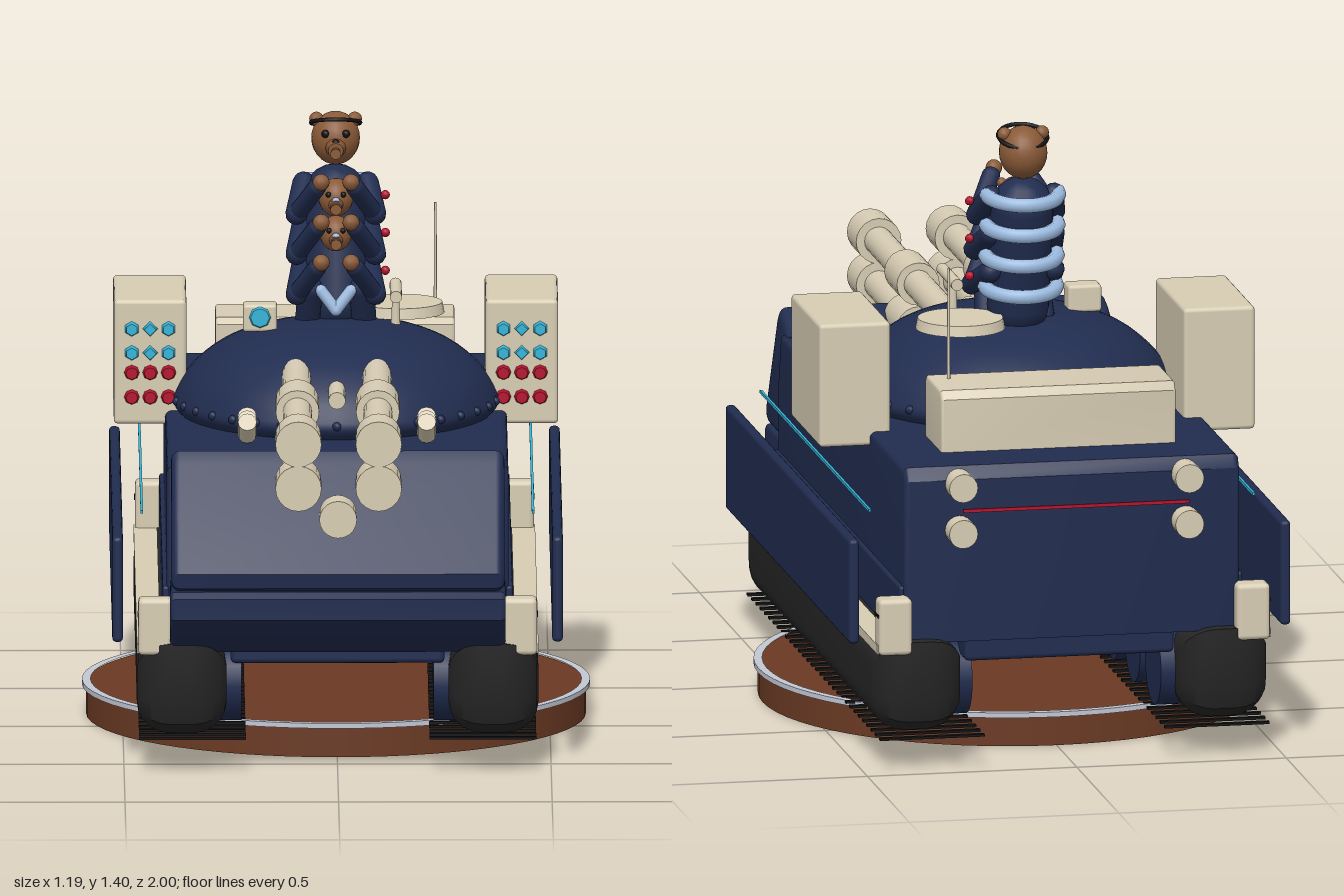
import * as THREE from 'three';
import { toCreasedNormals } from 'three/addons/utils/BufferGeometryUtils.js';
import { RoundedBoxGeometry } from 'three/addons/geometries/RoundedBoxGeometry.js';

const colours = {
  navy: 0x212d50, cream: 0xd8cdb4, rubber: 0x262626, wood: 0x6b3a24, fur: 0x8a5a38,
  paleBlue: 0x9cbbe0, cyan: 0x35b5d8, red: 0xb5122e, silver: 0xc4c8d4, black: 0x121214,
};

export function createModel() {
  const root = new THREE.Group();
  const M = {};
  for (const [name, color] of Object.entries(colours)) {
    M[name] = new THREE.MeshStandardMaterial({ color });
    M[name].name = name;
  }

  const add = (name, geo, mat, x = 0, y = 0, z = 0, parent = root) => {
    const mesh = new THREE.Mesh(geo, mat);
    mesh.name = name;
    mesh.position.set(x, y, z);
    parent.add(mesh);
    return mesh;
  };
  const group = (name) => {
    const g = new THREE.Group();
    g.name = name;
    root.add(g);
    return g;
  };
  const box = (w, h, d, r = 0.012) => new RoundedBoxGeometry(w, h, d, 2, r);
  const rod = (r, len, r2 = r, seg = 20) => new THREE.CylinderGeometry(r2, r, len, seg).rotateX(Math.PI / 2);
  // Side outline given as [z, y], extruded across x and centred on x = 0
  const sideExtrude = (pts, width, bevel, size = bevel) => {
    const shape = new THREE.Shape(pts.map(([z, y]) => new THREE.Vector2(z, y)));
    const geo = new THREE.ExtrudeGeometry(shape, {
      depth: width - 2 * bevel, bevelEnabled: true, bevelThickness: bevel, bevelSize: size,
      bevelOffset: -size, bevelSegments: 5,
    });
    geo.translate(0, 0, bevel - width / 2).rotateY(-Math.PI / 2);
    return toCreasedNormals(geo, 0.6);
  };
  // Rounded limb between two points
  const limb = (name, a, b, r, mat, parent) => {
    const p = new THREE.Vector3(...a), q = new THREE.Vector3(...b);
    const dir = q.clone().sub(p);
    const m = add(name, new THREE.CapsuleGeometry(r, dir.length(), 5, 12), mat, 0, 0, 0, parent);
    m.position.copy(p).add(q).multiplyScalar(0.5);
    m.quaternion.setFromUnitVectors(new THREE.Vector3(0, 1, 0), dir.normalize());
    return m;
  };

  // Display base
  add('displayBase', new THREE.CylinderGeometry(0.585, 0.585, 0.07, 64), M.wood, 0, 0.035, -0.175);
  add('baseRim', new THREE.CylinderGeometry(0.595, 0.595, 0.012, 64, 1, true), M.silver, 0, 0.076, -0.175);
  add('baseRimTop', new THREE.RingGeometry(0.575, 0.595, 64).rotateX(-Math.PI / 2), M.silver, 0, 0.082, -0.175);
  add('baseTop', new THREE.CylinderGeometry(0.58, 0.58, 0.008, 64), M.wood, 0, 0.074, -0.175);

  // Hull with overhanging nose
  add('hull', sideExtrude([[-0.94, 0.3], [-0.95, 0.69], [-0.93, 0.72], [0.54, 0.715], [0.57, 0.6], [0.57, 0.29]], 0.8, 0.015), M.navy);
  add('upperNose', sideExtrude([[0.5, 0.72], [0.57, 0.755], [0.61, 0.765], [0.635, 0.74], [0.77, 0.5], [0.765, 0.465], [0.74, 0.455], [0.5, 0.455]], 0.78, 0.02), M.navy);
  add('lowerNose', sideExtrude([[0.5, 0.455], [0.755, 0.455], [0.77, 0.44], [0.77, 0.39], [0.6, 0.285], [0.5, 0.28]], 0.785, 0.012), M.navy);
  add('belly', box(0.5, 0.07, 1.45), M.navy, 0, 0.28, -0.19);

  const trackOutline = [[0.635, 0.31], [0.635, 0.17], [0.615, 0.115], [0.56, 0.085],
    [-0.9, 0.085], [-0.955, 0.115], [-0.975, 0.17], [-0.975, 0.31]];
  for (const s of [-1, 1]) {
    // Running gear
    add('track', sideExtrude(trackOutline, 0.21, 0.08, 0.07), M.rubber, s * 0.365, 0, 0);
    for (let i = 0; i < 6; i++) {
      const z = 0.44 - i * 0.245;
      add('roadWheel', new THREE.CylinderGeometry(0.095, 0.095, 0.08, 24).rotateZ(Math.PI / 2), M.navy, s * 0.265, 0.19, z);
    }
    for (let i = 0; i < 32; i++) add('trackPad', new THREE.BoxGeometry(0.25, 0.006, 0.014), M.black, s * 0.34, 0.081, 0.605 - i * 0.0508);

    // Fenders, skirts and side lines
    add('fender', new THREE.BoxGeometry(0.085, 0.022, 1.58), M.cream, s * 0.4275, 0.295, -0.175);
    for (const z of [0.6, -0.95]) {
      add('fenderEnd', box(0.08, 0.135, 0.06), M.cream, s * 0.427, 0.348, z);
      for (const dz of [-0.013, 0.013]) add('fenderSlot', new THREE.BoxGeometry(0.004, 0.008, 0.014), M.black, s * 0.467, 0.375, z + dz);
    }
    add('lowerSidePanel', box(0.016, 0.13, 1.5, 0.006), M.navy, s * 0.402, 0.37, -0.18);
    add('sideSkirt', box(0.025, 0.25, 1.48, 0.01), M.navy, s * 0.515, 0.425, -0.18);
    add('sideLine', new THREE.BoxGeometry(0.006, 0.007, 1.3), M.cyan, s * 0.458, 0.596, -0.17);

    // Rear lamps
    for (const y of [0.68, 0.57]) add('rearLamp', rod(0.034, 0.065), M.cream, s * 0.27, y, -0.967);

    // Launcher pods with signal lamps
    const pod = group('launcherPod');
    add('podBody', box(0.17, 0.295, 0.345, 0.01), M.cream, s * 0.435, 0.8325, -0.358, pod);
    [0.912, 0.855, 0.808, 0.75].forEach((y, row) => {
      for (let c = -1; c <= 1; c++) {
        const sides = row > 1 ? 8 : (c === 0 ? 4 : 6);
        add('podLamp', rod(0.019, 0.018, 0.014, sides), row > 1 ? M.red : M.cyan, s * 0.435 + c * 0.043, y, -0.18, pod);
      }
    });

    // Twin barrels, upper and lower
    for (const y of [0.85, 0.745]) {
      const gun = group('gunBarrel');
      add('barrel', rod(0.034, 0.98), M.cream, s * 0.094, y, 0.46, gun);
      add('barrelSleeve', rod(0.051, 0.15), M.cream, s * 0.094, y, 0.495, gun);
      add('muzzle', rod(0.054, 0.11), M.cream, s * 0.094, y, 0.945, gun);
    }

    // Smoke dischargers
    for (let i = 0; i < 3; i++) {
      const d = add('smokeDischarger', new THREE.CylinderGeometry(0.022, 0.022, 0.07, 12), M.cream, s * 0.21, 0.755, 0.175 + i * 0.042);
      d.rotation.x = 0.95;
    }
  }
  add('rearLine', new THREE.BoxGeometry(0.54, 0.008, 0.006), M.red, 0, 0.625, -0.993);

  // Turret dome with rim bolts
  const dome = [[0.35, 0.7], [0.38, 0.735], [0.375, 0.765], [0.345, 0.815], [0.28, 0.87], [0.2, 0.905], [0.11, 0.922], [0, 0.927]];
  const turret = new THREE.LatheGeometry(new THREE.SplineCurve(dome.map((p) => new THREE.Vector2(...p))).getPoints(24), 48);
  add('turret', turret.scale(1, 1, 1.07), M.navy, 0, 0, -0.195);
  for (let i = 0; i < 36; i++) {
    const a = (i / 36) * Math.PI * 2;
    add('rimBolt', new THREE.SphereGeometry(0.011, 8, 6), M.navy, 0.378 * Math.sin(a), 0.75, -0.195 + 0.405 * Math.cos(a));
  }

  // Bow and centre guns
  add('bowGunBarrel', rod(0.025, 0.2), M.cream, 0, 0.635, 0.65);
  add('bowGunMuzzle', rod(0.044, 0.085), M.cream, 0, 0.635, 0.758);
  add('centreGun', rod(0.02, 0.2), M.cream, 0, 0.826, 0.19);

  // Roof fittings
  add('stowageBox', sideExtrude([[-0.785, 0.71], [-0.785, 0.845], [-0.77, 0.865], [-0.6, 0.865], [-0.585, 0.85], [-0.585, 0.71]], 0.56, 0.008), M.cream);
  add('hatch', new THREE.CylinderGeometry(0.1, 0.105, 0.025, 32), M.cream, 0.15, 0.933, -0.36);
  add('antenna', new THREE.CylinderGeometry(0.003, 0.004, 0.27, 8), M.cream, 0.235, 0.995, -0.645);
  add('roofGun', rod(0.014, 0.18), M.cream, 0.14, 1.003, -0.185);
  add('roofGunMount', new THREE.CylinderGeometry(0.008, 0.012, 0.1, 10), M.cream, 0.14, 0.95, -0.22);
  add('sight', box(0.08, 0.065, 0.06, 0.008), M.cream, -0.178, 0.942, -0.182);
  add('sightLens', rod(0.026, 0.008, 0.022, 8), M.cyan, -0.178, 0.945, -0.149);

  // Stacked crew: coats, collars, heads and folded arms
  const crew = group('crew');
  limb('coat', [0, 0.96, -0.3], [0, 1.2, -0.35], 0.075, M.navy, crew);
  const heads = [[1.335, -0.36, 0.06], [1.21, -0.265, 0.043], [1.13, -0.235, 0.04]];
  heads.forEach(([y, z, r], i) => {
    add('head', new THREE.SphereGeometry(r, 20, 14).scale(0.95, 1.05, 1), M.fur, 0, y, z, crew);
    add('snout', rod(r * 0.45, r, r * 0.3, 12), M.fur, 0, y - r * 0.25, z + r * 1.05, crew);
    add('pipe', rod(0.01, 0.05, 0.013, 10), M.fur, 0, y - r * 0.3, z + r * 1.6, crew);
    add('nose', new THREE.SphereGeometry(0.01, 8, 6), i ? M.paleBlue : M.black, 0, y, z + r * 1.25, crew);
    for (const s of [-1, 1]) {
      add('ear', new THREE.SphereGeometry(r * 0.28, 10, 8), M.fur, s * r * 0.75, y + r * 0.75, z, crew);
      add('eye', new THREE.SphereGeometry(r * 0.16, 8, 6), M.black, s * r * 0.4, y + r * 0.3, z + r * 0.85, crew);
    }
  });
  const band = new THREE.TorusGeometry(0.058, 0.005, 6, 24).rotateX(Math.PI / 2 - 0.3);
  add('goggleStrap', band, M.black, 0, 1.372, -0.355, crew);
  for (let i = 0; i < 4; i++) {
    const y = 1.235 - i * 0.075, z = -0.35 + i * 0.008;
    const collar = new THREE.TorusGeometry(0.085, 0.018, 8, 20, Math.PI).rotateX(-Math.PI / 2);
    add('collar', collar, M.paleBlue, 0, y, z, crew).rotation.x = -0.15;
    if (i === 3) break;
    const ay = 1.215 - i * 0.09, az = -0.24 + i * 0.03;
    for (const s of [-1, 1]) {
      limb('upperArm', [s * 0.075, ay + 0.015, -0.35], [s * 0.092, ay - 0.045, az - 0.03], 0.026, M.navy, crew);
      limb('forearm', [s * 0.092, ay - 0.045, az - 0.03], [s * 0.045, ay + 0.03, az + 0.04], 0.022, M.navy, crew);
      add('paw', new THREE.SphereGeometry(0.02, 10, 8), M.fur, s * 0.035, ay + 0.045, az + 0.055, crew);
    }
    add('badge', new THREE.SphereGeometry(0.011, 8, 6), M.red, 0.116, ay - 0.005, -0.3, crew);
  }
  for (const s of [-1, 1]) {
    limb('leg', [s * 0.065, 0.92, -0.26], [s * 0.06, 1.0, -0.22], 0.03, M.navy, crew);
    limb('scarfEnd', [0, 0.955, -0.19], [s * 0.035, 1.0, -0.2], 0.014, M.paleBlue, crew);
  }
  return root;
}
